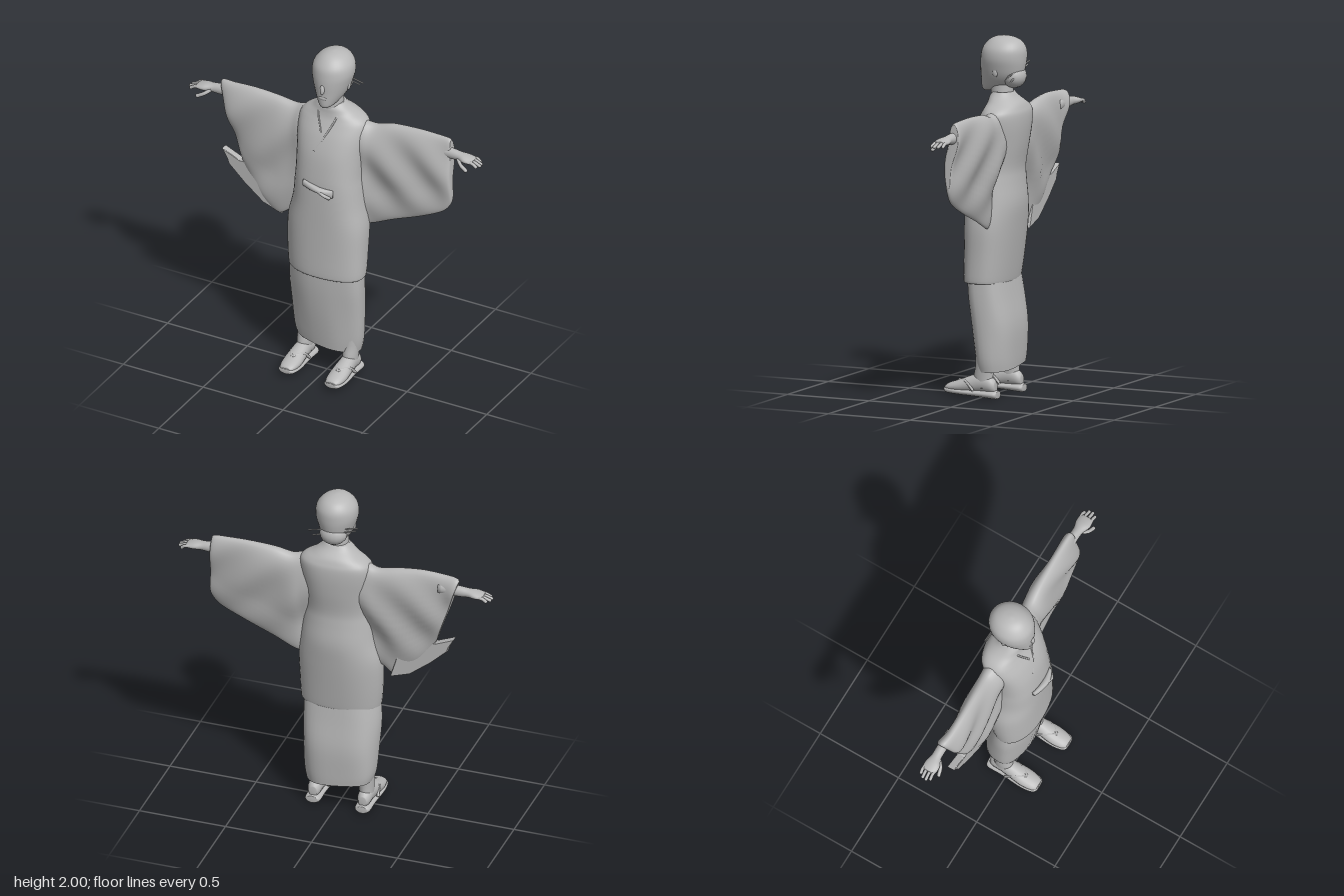
import * as THREE from 'three';

const grey = new THREE.MeshStandardMaterial({ color: 0xb8b8b8, side: THREE.DoubleSide });
grey.name = 'clay grey';
const V = (x, y, z) => new THREE.Vector3(x, y, z);

function mesh(name, geometry, parent) {
  const m = new THREE.Mesh(geometry, grey);
  m.name = name;
  parent.add(m);
  return m;
}

// Ellipsoid with its own radii
function ball(name, parent, position, radii) {
  const m = mesh(name, new THREE.SphereGeometry(1, 18, 12), parent);
  m.position.set(...position);
  m.scale.set(...radii);
  return m;
}

// Smoothly subdivides rows of numbers, column by column
function smooth(rows, steps = 4) {
  const out = [], last = rows.length - 1;
  const row = i => rows[Math.min(last, Math.max(0, i))];
  for (let i = 0; i < last; i++) for (let k = 0; k < steps; k++) {
    const t = k / steps;
    out.push(row(i).map((b, c) => {
      const a = row(i - 1)[c], d = row(i + 1)[c], e = row(i + 2)[c];
      return b + 0.5 * t * (d - a + t * (2 * a - 5 * b + 4 * d - e + t * (3 * (b - d) + e - a)));
    }));
  }
  out.push(rows[last]);
  return out;
}

// Skins closed rings of points, with optional end caps
function loft(rings, capStart = true, capEnd = true) {
  const n = rings[0].length, pos = [], idx = [];
  rings.forEach(r => r.forEach(p => pos.push(p.x, p.y, p.z)));
  for (let i = 0; i < rings.length - 1; i++) for (let j = 0; j < n; j++) {
    const a = i * n + j, b = i * n + (j + 1) % n;
    idx.push(a, b, b + n, a, b + n, a + n);
  }
  const cap = (ring, base, flip) => {
    const c = ring.reduce((s, p) => s.add(p), V(0, 0, 0)).divideScalar(n), k = pos.length / 3;
    pos.push(c.x, c.y, c.z);
    for (let j = 0; j < n; j++) {
      const a = base + j, b = base + (j + 1) % n;
      flip ? idx.push(k, b, a) : idx.push(k, a, b);
    }
  };
  if (capStart) cap(rings[0], 0, true);
  if (capEnd) cap(rings[rings.length - 1], (rings.length - 1) * n, false);
  const g = new THREE.BufferGeometry();
  g.setAttribute('position', new THREE.Float32BufferAttribute(pos, 3));
  g.setIndex(idx);
  g.computeVertexNormals();
  return g;
}

// Upright form from rows [y, half width, front z, back z, centre x (0 if left out), slope of the ring]
function upright(rows, { power = 1, ripple = 0, n = 40, caps = [true, true] } = {}) {
  const bend = v => Math.sign(v) * Math.abs(v) ** power;
  const full = rows.map(([y, w, f, b, cx = 0, tilt = 0]) => [y, w, f, b, cx, tilt]);
  return loft(smooth(full).map(([y, w, f, b, cx, tilt]) => Array.from({ length: n }, (_, j) => {
    const a = j / n * Math.PI * 2, k = 1 + ripple * Math.sin(5 * a + y * 4);
    const x = w * k * bend(Math.sin(a));
    return V(cx + x, y + tilt * x, (f + b) / 2 + (f - b) / 2 * k * bend(Math.cos(a)));
  })), ...caps);
}

// Form along an axis from rows [distance, centre across, centre y, half across, half height]
function along(axis, rows, n = 20) {
  return loft(smooth(rows).map(([d, c, y, w, h]) => Array.from({ length: n }, (_, j) => {
    const a = j / n * Math.PI * 2, u = c + w * Math.cos(a), v = y + h * Math.sin(a);
    return axis === 'x' ? V(d, v, u) : V(u, v, d);
  })));
}

// Hanging sleeve from rows [top x, top y, bottom x, bottom y, z above, z below, half depth above, below]
function sleeve(rows, n = 48) {
  return loft(smooth(rows, 6).map(([tx, ty, bx, by, zt, zb, up, low]) => Array.from({ length: n }, (_, j) => {
    const a = j / n * Math.PI * 2, s = (1 - Math.cos(a)) / 2;
    const x = tx + (bx - tx) * s, y = ty + (by - ty) * s;
    const fold = 0.014 * Math.sin(18 * Math.abs(x) + 15 * y) * Math.sin(Math.PI * s);
    const depth = up + (low - up) * Math.min(1, s * 1.5);
    return V(x, y, zt + (zb - zt) * s + fold + Math.sin(a) * depth);
  })));
}

const tube = (points, r) =>
  new THREE.TubeGeometry(new THREE.CatmullRomCurve3(points), 12, r, 8, false);

function hand() {
  const g = new THREE.Group();
  mesh('palm', along('x', [
    [0.6, -0.115, 1.53, 0.03, 0.035], [0.72, -0.115, 1.528, 0.028, 0.031],
    [0.77, -0.113, 1.527, 0.03, 0.025], [0.81, -0.11, 1.525, 0.043, 0.022],
    [0.845, -0.11, 1.522, 0.042, 0.016], [0.86, -0.11, 1.52, 0.036, 0.011]]), g);
  [-0.142, -0.121, -0.099, -0.078].forEach((z, i) => {
    const tip = [0.88, 0.897, 0.9, 0.887][i];
    mesh('finger', tube([V(0.835, 1.524, z), V(0.865, 1.52, z - 0.002), V(tip, 1.508, z)], 0.0095), g);
    ball('fingertip', g, [tip, 1.508, z], [0.0097, 0.0097, 0.0097]);
  });
  mesh('thumb', tube([V(0.77, 1.52, -0.09), V(0.8, 1.5, -0.066), V(0.835, 1.482, -0.056)], 0.011), g);
  ball('thumbTip', g, [0.835, 1.482, -0.056], [0.011, 0.011, 0.011]);
  return g;
}

function foot() {
  const g = new THREE.Group();
  mesh('sandal', along('z', [
    [-0.11, 0, 0.024, 0.03, 0.02], [-0.09, 0, 0.024, 0.045, 0.024], [0, 0, 0.028, 0.047, 0.021],
    [0.12, 0, 0.034, 0.058, 0.021], [0.19, 0, 0.038, 0.05, 0.02], [0.21, 0, 0.04, 0.03, 0.014]]), g);
  mesh('foot', along('z', [
    [-0.095, 0, 0.065, 0.022, 0.03], [-0.07, 0, 0.075, 0.037, 0.045], [-0.01, 0, 0.085, 0.042, 0.055],
    [0.05, 0, 0.075, 0.048, 0.05], [0.12, 0, 0.06, 0.054, 0.038], [0.18, 0, 0.052, 0.046, 0.026],
    [0.205, 0, 0.048, 0.03, 0.015]]), g);
  mesh('ankle', upright([[0.06, 0.037, 0.03, -0.08], [0.12, 0.041, 0.037, -0.075],
    [0.2, 0.045, 0.025, -0.08], [0.35, 0.055, 0.03, -0.09]], { n: 20 }), g);
  for (const s of [-1, 1])
    mesh('sandalStrap', tube([V(0, 0.092, 0.13), V(s * 0.038, 0.092, 0.07), V(s * 0.05, 0.045, 0.02)], 0.008), g);
  return g;
}

export function createModel() {
  const model = new THREE.Group();
  model.name = 'robedFigure';

  // Underskirt with a sloping hem, and long jacket
  mesh('skirt', upright([[0.168, 0.19, 0.05, -0.16, -0.01, -0.1], [0.24, 0.205, 0.06, -0.165, -0.01, -0.05],
    [0.4, 0.215, 0.08, -0.168, -0.01], [0.56, 0.222, 0.095, -0.145, -0.01],
    [0.7, 0.215, 0.1, -0.125, -0.005]], { power: 0.85, ripple: 0.022, caps: [false, false] }), model);
  mesh('robeBody', upright([[0.645, 0.222, 0.112, -0.13], [0.66, 0.23, 0.12, -0.135],
    [0.8, 0.237, 0.12, -0.155, -0.005], [0.95, 0.237, 0.12, -0.175, -0.005], [1.08, 0.213, 0.12, -0.188],
    [1.2, 0.2, 0.118, -0.18], [1.28, 0.193, 0.112, -0.178], [1.4, 0.197, 0.093, -0.197],
    [1.5, 0.207, 0.06, -0.208], [1.57, 0.205, 0.025, -0.208], [1.605, 0.18, 0.008, -0.198],
    [1.635, 0.13, 0, -0.182], [1.665, 0.093, -0.005, -0.15], [1.69, 0.07, -0.02, -0.13]],
    { power: 0.88, ripple: 0.008, caps: [false, true] }), model);

  // Crossed collar edges, barely raised
  mesh('collarLeft', tube([V(0.062, 1.69, -0.07), V(0.06, 1.63, -0.01), V(0.02, 1.53, 0.044), V(-0.04, 1.42, 0.082)], 0.005), model);
  mesh('collarRight', tube([V(-0.062, 1.69, -0.07), V(-0.06, 1.63, -0.01), V(-0.015, 1.53, 0.044)], 0.005), model);

  // Cord tied at the waist
  const knot = new THREE.Group();
  knot.name = 'waistKnot';
  mesh('cord', along('x', [[-0.085, 0.115, 1.23, 0.012, 0.02], [-0.03, 0.127, 1.222, 0.017, 0.019],
    [0.03, 0.13, 1.214, 0.02, 0.017], [0.095, 0.112, 1.2, 0.012, 0.024]]), knot);
  mesh('cordEnd', tube([V(0.02, 1.215, 0.14), V(0.055, 1.2, 0.145), V(0.085, 1.178, 0.125)], 0.01), knot);
  model.add(knot);

  // Sleeves widen into the shoulders: the left is full, the right ends in a pointed flap
  mesh('leftSleeve', sleeve([[0.08, 1.6, 0.12, 0.98, -0.09, -0.06, 0.1, 0.03],
    [0.18, 1.595, 0.18, 0.955, -0.093, -0.07, 0.115, 0.035], [0.25, 1.585, 0.24, 0.96, -0.108, -0.085, 0.104, 0.035],
    [0.35, 1.608, 0.37, 1.02, -0.117, -0.085, 0.088, 0.038], [0.5, 1.618, 0.54, 1.09, -0.122, -0.085, 0.07, 0.04],
    [0.62, 1.617, 0.67, 1.155, -0.124, -0.09, 0.058, 0.035], [0.69, 1.614, 0.72, 1.21, -0.124, -0.095, 0.05, 0.028],
    [0.71, 1.605, 0.732, 1.25, -0.122, -0.1, 0.04, 0.018]]), model);
  mesh('rightSleeve', sleeve([[-0.08, 1.6, -0.12, 1.0, -0.09, -0.04, 0.1, 0.025],
    [-0.18, 1.595, -0.18, 0.96, -0.093, -0.04, 0.115, 0.028], [-0.25, 1.58, -0.25, 0.93, -0.098, -0.04, 0.1, 0.032],
    [-0.36, 1.598, -0.33, 0.885, -0.092, -0.045, 0.09, 0.038], [-0.5, 1.61, -0.43, 0.95, -0.086, -0.05, 0.08, 0.04],
    [-0.63, 1.605, -0.51, 1.05, -0.085, -0.06, 0.072, 0.036], [-0.7, 1.6, -0.56, 1.14, -0.094, -0.07, 0.068, 0.03],
    [-0.717, 1.585, -0.58, 1.17, -0.1, -0.08, 0.05, 0.02]]), model);
  const flap = new THREE.Shape([[-0.31, 0.888], [-0.42, 0.925], [-0.54, 1.02], [-0.635, 1.11], [-0.645, 1.14],
    [-0.675, 1.19], [-0.57, 1.145], [-0.48, 1.15], [-0.36, 1.05]].map(p => new THREE.Vector2(...p)));
  mesh('rightSleeveFlap', new THREE.ExtrudeGeometry(flap, { depth: 0.02, bevelEnabled: true,
    bevelSize: 0.004, bevelThickness: 0.012, bevelSegments: 2 }), model).position.z = -0.068;

  // Hands and feet
  for (const s of [1, -1]) {
    const h = hand();
    h.name = s > 0 ? 'leftHand' : 'rightHand';
    h.scale.x = s;
    h.position.z = s > 0 ? 0 : 0.015;
    model.add(h);
    const f = foot();
    f.name = s > 0 ? 'leftFoot' : 'rightFoot';
    f.position.set(s > 0 ? 0.137 : -0.157, 0, s > 0 ? 0 : -0.015);
    model.add(f);
  }

  // Neck and head with smooth hair
  mesh('neck', upright([[1.6, 0.085, 0, -0.15], [1.66, 0.063, -0.003, -0.13], [1.78, 0.058, 0, -0.13]], { n: 24 }), model);
  mesh('head', upright([[1.69, 0.018, 0.042, 0.005], [1.705, 0.042, 0.053, -0.05], [1.735, 0.068, 0.056, -0.14],
    [1.78, 0.092, 0.056, -0.185], [1.83, 0.108, 0.057, -0.2], [1.88, 0.118, 0.054, -0.206],
    [1.93, 0.112, 0.043, -0.203], [1.97, 0.083, 0.012, -0.178], [1.992, 0.045, -0.025, -0.135],
    [2.0, 0.008, -0.07, -0.09]], { n: 32 }), model);
  ball('nose', model, [0, 1.815, 0.054], [0.014, 0.032, 0.014]).rotation.x = -0.25;
  ball('lips', model, [0, 1.757, 0.051], [0.025, 0.012, 0.008]);
  ball('hairBun', model, [0, 1.778, -0.14], [0.078, 0.066, 0.066]);
  for (const s of [1, -1]) ball('ear', model, [s * 0.096, 1.805, -0.07], [0.01, 0.026, 0.016]);

  // Hairpins through the bun
  mesh('hairpin', tube([V(-0.148, 1.845, -0.16), V(0.138, 1.782, -0.16)], 0.004), model);
  mesh('hairpin', tube([V(-0.135, 1.825, -0.155), V(0.11, 1.76, -0.17)], 0.004), model);
  return model;
}
